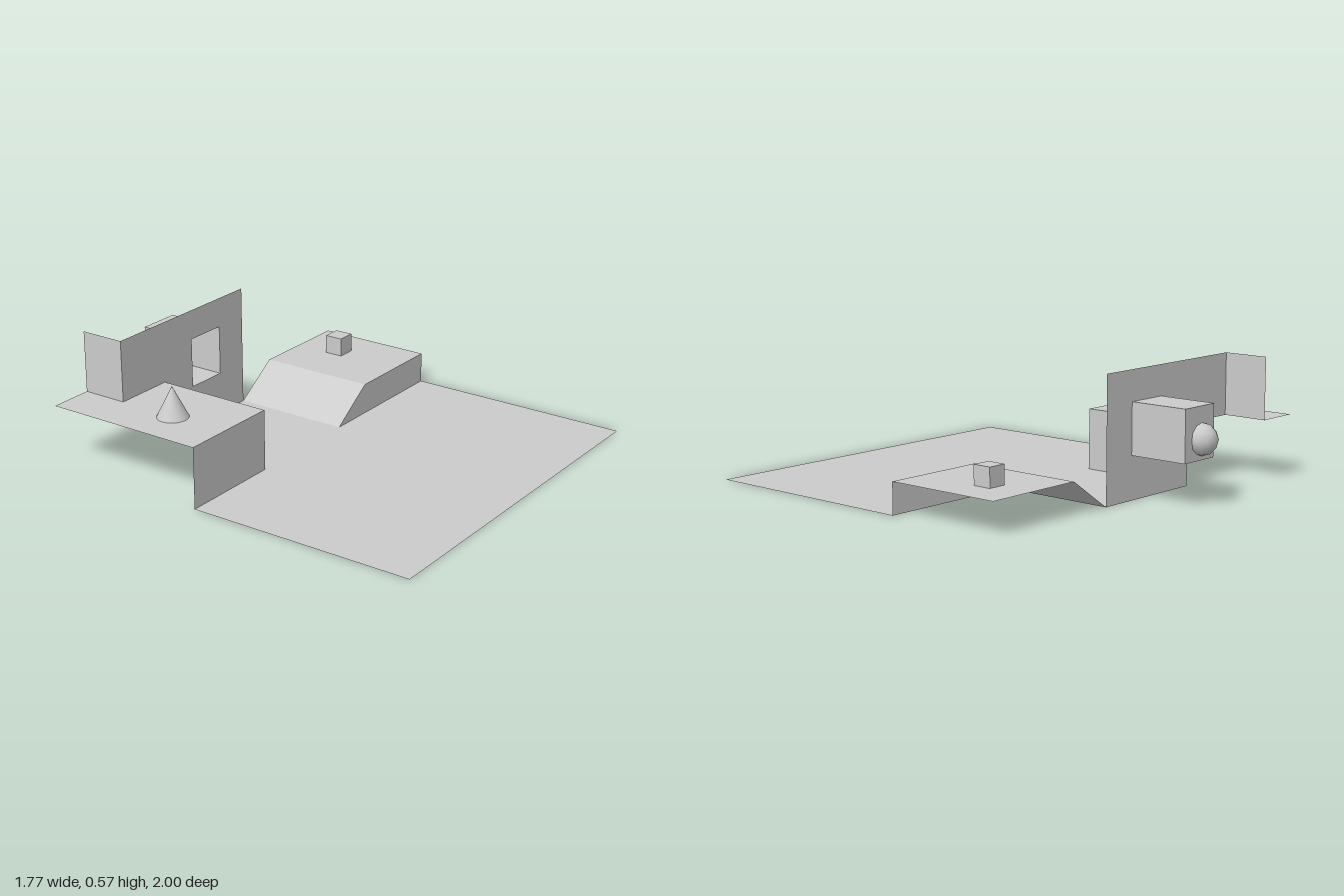
import * as THREE from 'three';

export function createModel() {
  const model = new THREE.Group();
  const grey = new THREE.MeshStandardMaterial({ color: 0xcccccc, side: THREE.DoubleSide });
  grey.name = 'plain grey';

  const add = (name, geometry, x = 0, y = 0, z = 0) => {
    const mesh = new THREE.Mesh(geometry, grey);
    mesh.name = name;
    mesh.position.set(x, y, z);
    model.add(mesh);
    return mesh;
  };

  // Flat sheet spanned by edges u and v from corner o; it faces u x v.
  const sheet = (name, o, u, v) => {
    const g = new THREE.BufferGeometry();
    const at = (a, b) => o.map((c, i) => c + a * u[i] + b * v[i]);
    const points = [at(0, 0), at(1, 0), at(1, 1), at(0, 1)].flat();
    g.setAttribute('position', new THREE.Float32BufferAttribute(points, 3));
    g.setIndex([0, 1, 2, 0, 2, 3]);
    g.computeVertexNormals();
    return add(name, g);
  };

  const outline = (points) => new THREE.Shape(points.map(([x, y]) => new THREE.Vector2(x, y)));

  const side = 0.887, front = -0.08, back = -0.645, end = -0.86;
  const ledgeX = -0.394, ledgeY = 0.285, wallY = 0.572, foldX = -0.68;
  const rampX = 0.178, rampTopX = 0.39, rampY = 0.145;
  const depth = front - back;

  // Ground: wide apron in front and a strip reaching the back wall
  sheet('frontFloor', [-side, 0, 1], [2 * side, 0, 0], [0, 0, front - 1]);
  sheet('middleFloor', [ledgeX, 0, front], [rampX - ledgeX, 0, 0], [0, 0, -depth]);

  // Raised ledge, open underneath
  sheet('ledgeTop', [-side, ledgeY, front], [ledgeX + side, 0, 0], [0, 0, -depth]);
  sheet('ledgeTopExtension', [-side, ledgeY, back], [foldX + side, 0, 0], [0, 0, end - back]);
  sheet('ledgeFront', [-side, 0, front], [ledgeX + side, 0, 0], [0, ledgeY, 0]);
  sheet('ledgeSide', [ledgeX, 0, front], [0, 0, -depth], [0, ledgeY, 0]);

  // Back wall with a window opening, and its return wall
  const nx0 = -0.197, nx1 = 0.006, ny0 = 0.198, ny1 = 0.432, nz = -0.927;
  const wall = outline([[ledgeX, 0], [rampX, 0], [rampX, wallY], [foldX, wallY],
    [foldX, ledgeY], [ledgeX, ledgeY]]);
  wall.holes.push(outline([[nx0, ny0], [nx0, ny1], [nx1, ny1], [nx1, ny0]]));
  add('backWall', new THREE.ShapeGeometry(wall), 0, 0, back);
  sheet('returnWall', [foldX, ledgeY, back], [0, 0, end - back], [0, wallY - ledgeY, 0]);

  // Niche behind the opening
  const nw = nx1 - nx0, nh = ny1 - ny0, nd = nz - back;
  sheet('nicheBack', [nx0, ny0, nz], [nw, 0, 0], [0, nh, 0]);
  for (const y of [ny0, ny1]) sheet('nicheFloorOrRoof', [nx0, y, back], [nw, 0, 0], [0, 0, nd]);
  for (const x of [nx0, nx1]) sheet('nicheSide', [x, ny0, back], [0, 0, nd], [0, nh, 0]);

  // Ramp and low deck, open at the back and end
  sheet('ramp', [rampX, 0, front], [rampTopX - rampX, rampY, 0], [0, 0, -depth]);
  sheet('deckTop', [rampTopX, rampY, front], [side - rampTopX, 0, 0], [0, 0, -depth]);
  add('deckFront', new THREE.ShapeGeometry(outline(
    [[rampX, 0], [side, 0], [side, rampY], [rampTopX, rampY]])), 0, 0, front);

  // Small solids
  add('cone', new THREE.ConeGeometry(0.072, 0.143, 32), -0.68, ledgeY + 0.0715, -0.36);
  add('cube', new THREE.BoxGeometry(0.089, 0.089, 0.089), 0.675, rampY + 0.0445, -0.43);
  const ball = add('facetedBall', new THREE.IcosahedronGeometry(0.072, 1), -0.11, 0.288, -0.928);
  ball.rotation.z = -Math.atan(2 / (1 + Math.sqrt(5)));

  return model;
}
